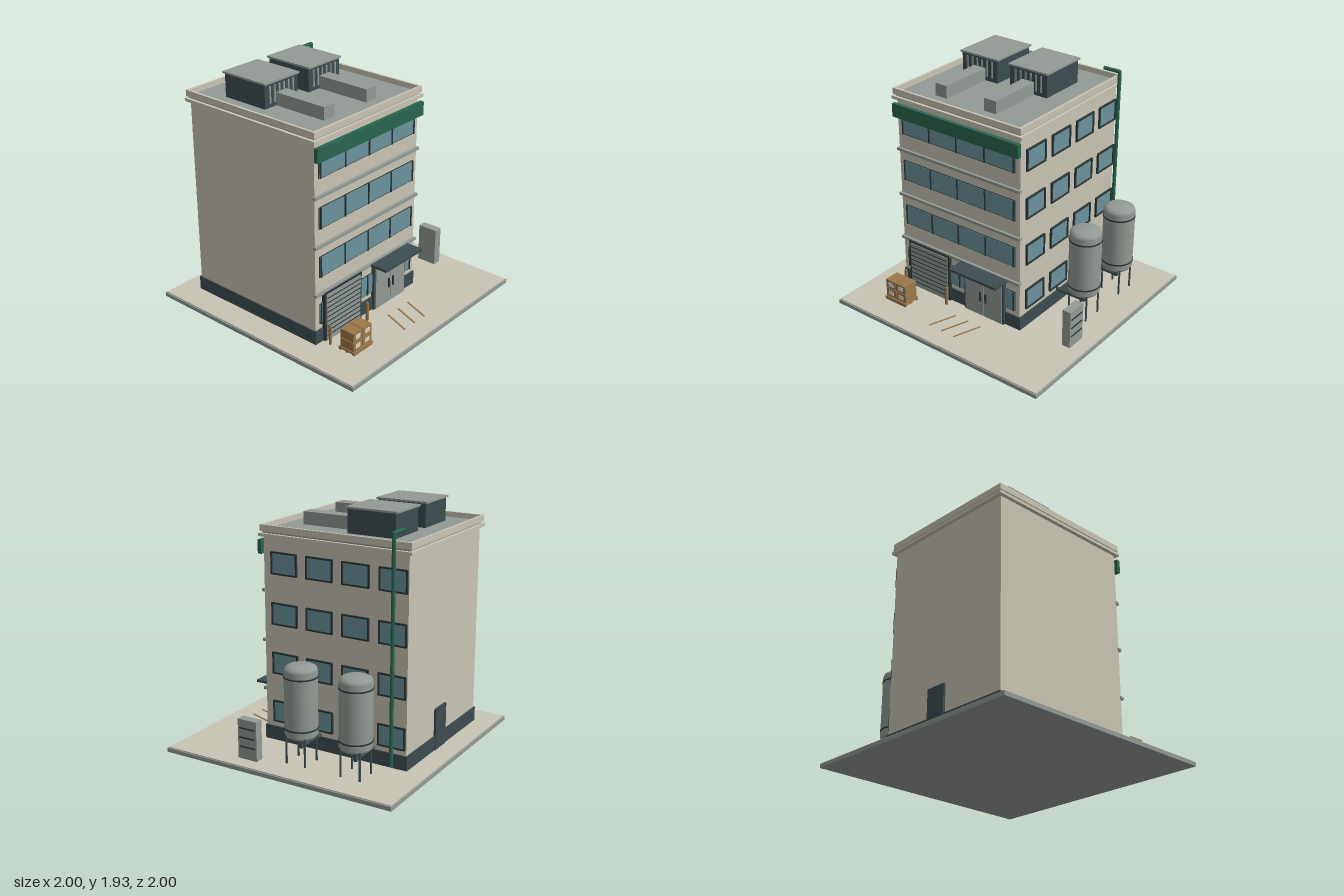
import * as THREE from 'three';

const mat = (name, color) => {
  const m = new THREE.MeshStandardMaterial({ color });
  m.name = name;
  return m;
};

export function createModel() {
  const M = {
    wall: mat('beige wall', 0xc8c4b4),
    grey: mat('grey metal', 0x939a95),
    slate: mat('dark slate', 0x3d4d50),
    frame: mat('frame charcoal', 0x2b3738),
    glass: mat('blue glass', 0x6b939c),
    green: mat('sign green', 0x28654f),
    wood: mat('carton brown', 0x9c7748),
    label: mat('pale label', 0xd6d4ca),
  };
  const root = new THREE.Group();
  root.name = 'factoryBuilding';

  const group = (name, parent = root) => {
    const g = new THREE.Group();
    g.name = name;
    parent.add(g);
    return g;
  };
  // Box given by its min and max on every axis
  const box = (name, m, x0, x1, y0, y1, z0, z1, parent = root) => {
    const mesh = new THREE.Mesh(new THREE.BoxGeometry(x1 - x0, y1 - y0, z1 - z0), m);
    mesh.position.set((x0 + x1) / 2, (y0 + y1) / 2, (z0 + z1) / 2);
    mesh.name = name;
    parent.add(mesh);
    return mesh;
  };
  const cyl = (name, m, r, h, x, y, z, parent = root, seg = 16) => {
    const mesh = new THREE.Mesh(new THREE.CylinderGeometry(r, r, h, seg), m);
    mesh.position.set(x, y, z);
    mesh.name = name;
    parent.add(mesh);
    return mesh;
  };
  // Hollow rectangular ring lying flat, extruded upwards
  const ring = (name, m, x0, x1, y0, y1, z0, z1, t) => {
    const rect = (P, a, b, c, d) => new P([[a, c], [b, c], [b, d], [a, d]].map(p => new THREE.Vector2(...p)));
    const s = rect(THREE.Shape, x0, x1, -z1, -z0);
    s.holes.push(rect(THREE.Path, x0 + t, x1 - t, -z1 + t, -z0 - t));
    const mesh = new THREE.Mesh(new THREE.ExtrudeGeometry(s, { depth: y1 - y0, bevelEnabled: false }), m);
    mesh.rotation.x = -Math.PI / 2;
    mesh.position.y = y0;
    mesh.name = name;
    root.add(mesh);
  };

  // Ground slab
  box('groundEdge', M.grey, -1, 1, 0, 0.032, -1, 1);
  box('groundTop', M.wall, -0.99, 0.99, 0.03, 0.04, -0.99, 0.99);

  // Main block, plinth, cornice and parapet
  box('walls', M.wall, -0.765, 0.425, 0.04, 1.72, -0.81, 0.44);
  box('plinth', M.slate, -0.775, 0.435, 0.04, 0.155, -0.822, 0.45);
  box('cornice', M.wall, -0.795, 0.455, 1.685, 1.71, -0.843, 0.47);
  ring('parapet', M.wall, -0.787, 0.445, 1.725, 1.775, -0.835, 0.463, 0.02);
  box('roofDeck', M.grey, -0.77, 0.43, 1.71, 1.732, -0.818, 0.446);

  // Front window bands with mullions, and ledges between floors
  for (let f = 0; f < 4; f++) {
    const y = 0.2 + f * 0.4;
    const g = group('frontWindowBand');
    box('bandFrame', M.frame, -0.722, 0.382, y - 0.003, y + 0.172, 0.43, 0.445, g);
    box('bandGlass', M.glass, -0.718, 0.378, y + 0.004, y + 0.167, 0.44, 0.449, g);
    for (let i = 0; i < 5; i++) {
      const x = -0.711 + i * 0.2705;
      box('mullion', M.frame, x - 0.005, x + 0.005, y, y + 0.17, 0.44, 0.457, g);
    }
    if (f < 3) box('floorLedge', M.grey, -0.775, 0.435, y + 0.25, y + 0.272, 0.43, 0.462);
  }

  // Framed windows on the right-hand wall
  for (let f = 0; f < 4; f++) for (let i = 0; i < 4; i++) {
    const y = 0.198 + f * 0.4, z = 0.255 - i * 0.3135;
    const g = group('sideWindow');
    for (const s of [-1, 1]) {
      box('windowJamb', M.frame, 0.42, 0.44, y, y + 0.176, z + s * 0.111 - 0.0065, z + s * 0.111 + 0.0065, g);
      const yc = y + 0.088 + s * 0.083;
      box('windowRail', M.frame, 0.42, 0.44, yc - 0.006, yc + 0.006, z - 0.117, z + 0.117, g);
    }
    box('windowGlass', M.glass, 0.423, 0.431, y + 0.005, y + 0.17, z - 0.11, z + 0.11, g);
  }

  // Plain sign band
  box('signBand', M.green, -0.78, 0.44, 1.545, 1.655, 0.455, 0.488);
  for (const x of [-0.6, -0.17, 0.26]) box('signBracket', M.frame, x - 0.01, x + 0.01, 1.59, 1.61, 0.44, 0.456);

  // Roller door with slat grooves
  const roller = group('rollerDoor');
  box('rollerFrame', M.frame, -0.69, -0.262, 0.04, 0.458, 0.44, 0.468, roller);
  box('rollerCurtain', M.grey, -0.672, -0.28, 0.04, 0.442, 0.46, 0.474, roller);
  for (let i = 0; i < 9; i++) {
    const y = 0.083 + i * 0.0405;
    box('slatGroove', M.frame, -0.67, -0.282, y, y + 0.006, 0.47, 0.478, roller);
  }
  for (const x of [-0.692, -0.255]) box('doorPost', M.wood, x - 0.009, x + 0.009, 0.04, 0.2, 0.513, 0.531);

  // Entrance with double doors and canopy
  const entrance = group('entrance');
  box('entranceFrame', M.slate, -0.107, 0.29, 0.04, 0.445, 0.44, 0.468, entrance);
  for (const s of [-1, 1]) {
    const x = 0.0915 + s * 0.0925;
    box('doorLeaf', M.grey, x - 0.09, x + 0.09, 0.045, 0.422, 0.46, 0.476, entrance);
    const hx = 0.0915 + s * 0.026;
    box('doorHandle', M.frame, hx - 0.006, hx + 0.006, 0.18, 0.262, 0.474, 0.488, entrance);
  }
  box('canopy', M.slate, -0.14, 0.322, 0.446, 0.466, 0.44, 0.61, entrance);

  // Rear door
  box('rearDoor', M.slate, -0.205, -0.03, 0.04, 0.38, -0.828, -0.8);

  // Rooftop units with louvres and ducts
  for (const x of [-0.44, 0.035]) {
    const g = group('roofUnit');
    box('unitBody', M.slate, x - 0.175, x + 0.175, 1.73, 1.92, -0.58, -0.17, g);
    box('unitLid', M.grey, x - 0.185, x + 0.185, 1.92, 1.935, -0.595, -0.158, g);
    for (let i = 0; i < 6; i++) {
      const lx = x - 0.122 + i * 0.049;
      box('louvre', M.grey, lx - 0.007, lx + 0.007, 1.765, 1.9, -0.172, -0.163, g);
    }
    box('duct', M.grey, x - 0.056, x + 0.056, 1.73, 1.835, -0.17, 0.297, g);
  }

  // Storage tanks on legs, each piped to the wall
  const profile = [[0, 0.235], [0.07, 0.24], [0.112, 0.252], [0.128, 0.275], [0.128, 0.775],
    [0.12, 0.798], [0.095, 0.812], [0.05, 0.82], [0, 0.822]].map(p => new THREE.Vector2(...p));
  for (const z of [-0.53, -0.055]) {
    const g = group('storageTank');
    const x = 0.685;
    const shell = new THREE.Mesh(new THREE.LatheGeometry(profile, 28), M.grey);
    shell.position.set(x, 0, z);
    shell.name = 'tankShell';
    g.add(shell);
    for (const y of [0.325, 0.73]) cyl('tankBand', M.frame, 0.132, 0.011, x, y, z, g, 28);
    for (const a of [-1, 1]) for (const b of [-1, 1])
      cyl('tankLeg', M.slate, 0.008, 0.23, x + a * 0.082, 0.155, z + b * 0.082, g, 10);
    cyl('outletDrop', M.slate, 0.015, 0.095, x, 0.2, z, g);
    cyl('outletPipe', M.slate, 0.015, 0.275, 0.5625, 0.166, z, g).rotation.z = Math.PI / 2;
  }

  // Green riser pipe turning over the roof
  const pipe = group('riserPipe');
  cyl('riser', M.green, 0.015, 1.763, 0.503, 0.9635, -0.725, pipe);
  cyl('roofReturn', M.green, 0.015, 0.143, 0.4315, 1.845, -0.725, pipe).rotation.z = Math.PI / 2;
  const elbow = new THREE.Mesh(new THREE.SphereGeometry(0.015, 16, 10), M.green);
  elbow.position.set(0.503, 1.845, -0.725);
  elbow.name = 'elbow';
  pipe.add(elbow);

  // Control cabinet with vents on its outer side
  const cabinet = group('controlCabinet');
  box('cabinetBody', M.grey, 0.8, 0.872, 0.04, 0.36, 0.23, 0.4, cabinet);
  for (const y of [0.14, 0.215, 0.29]) box('vent', M.frame, 0.87, 0.877, y - 0.005, y + 0.005, 0.245, 0.387, cabinet);

  // Pallet of cartons
  const pallet = group('cartonPallet');
  box('palletDeck', M.wood, -0.703, -0.482, 0.053, 0.068, 0.613, 0.763, pallet);
  for (const z of [0.623, 0.688, 0.753])
    box('palletRunner', M.wood, -0.7, -0.485, 0.04, 0.053, z - 0.01, z + 0.01, pallet);
  for (const x of [-0.645, -0.538]) for (const y of [0.07, 0.15]) {
    box('carton', M.wood, x - 0.051, x + 0.051, y, y + 0.074, 0.625, 0.752, pallet);
    box('cartonLabel', M.label, x - 0.026, x + 0.026, y + 0.018, y + 0.056, 0.751, 0.755, pallet);
  }

  // Painted ground stripes
  for (const x of [-0.13, -0.005, 0.12]) {
    const s = box('groundStripe', M.wood, x - 0.006, x + 0.006, 0.039, 0.044, 0.595, 0.835);
    s.rotation.y = -0.34;
  }
  return root;
}
